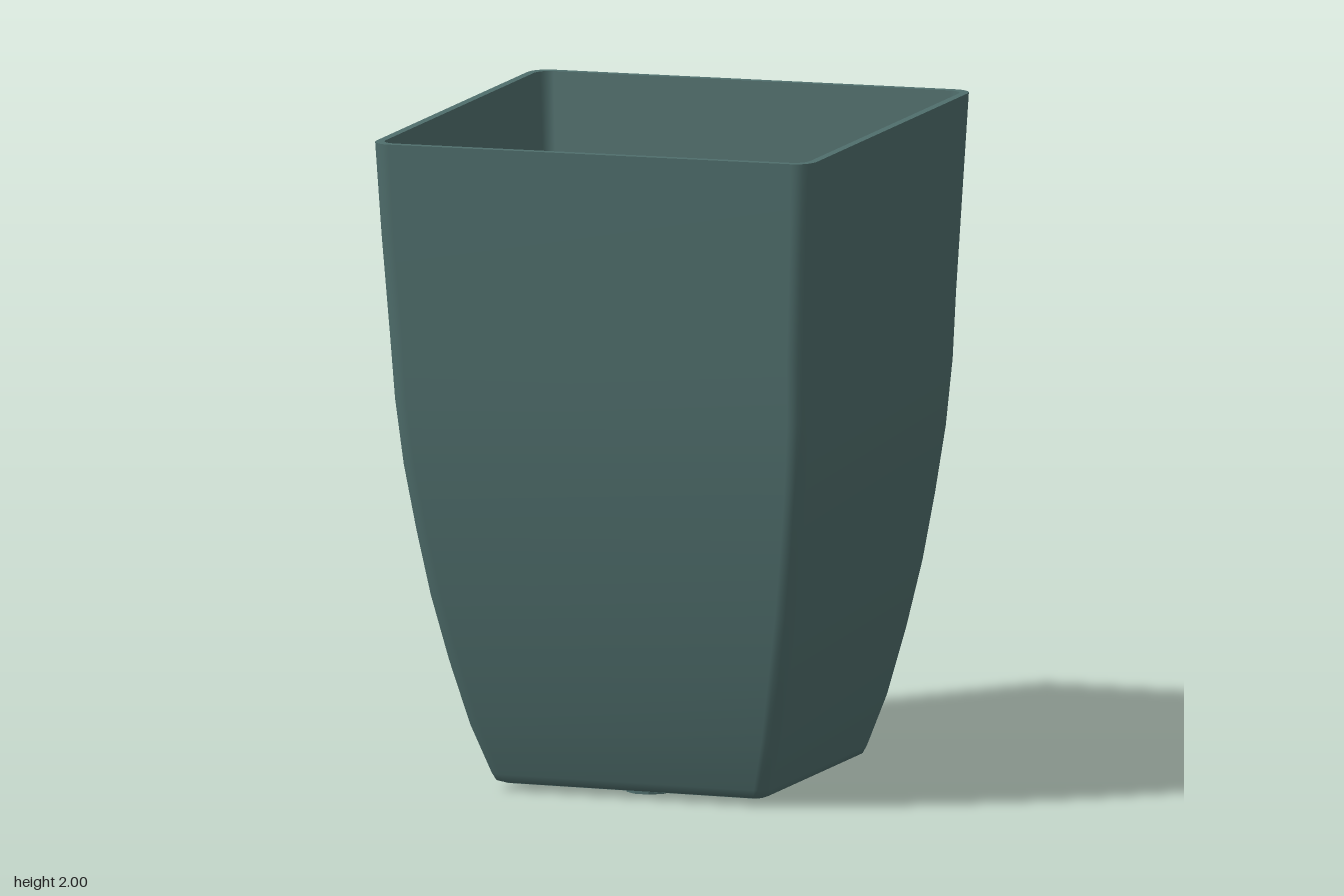
import * as THREE from 'three';

const CX = 0.02, CZ = -0.01; // base centre, slightly off the rim centre
const HOLES = [[0.02, -0.01], [-0.26, -0.01], [0.3, -0.01], [0.03, -0.29], [0.03, 0.27]];

// One level of the pot: [height, half width, corner radius]
const OUTER = [
  [0.02, 0.41, 0.03], [0.028, 0.432, 0.035], [0.05, 0.443, 0.04], [0.2, 0.492, 0.045],
  [0.4, 0.54, 0.05], [0.6, 0.58, 0.05], [0.8, 0.611, 0.05], [1.0, 0.638, 0.05],
  [1.2, 0.656, 0.05], [1.4, 0.667, 0.055], [1.7, 0.684, 0.055], [2.0, 0.7, 0.06],
];
const INNER = OUTER.slice(3).reverse()
  .map(([y, h, r]) => [y, h - 0.025, r - 0.015])
  .concat([[0.1, 0.43, 0.03], [0.065, 0.41, 0.03]]);

// Rounded square cross-section; the centre shifts and the rim tilts with height
function ring([y, h, r]) {
  const k = Math.max(0, 1 - y / 1.6), pts = [];
  for (let c = 0; c < 4; c++) {
    const mid = Math.PI / 4 + c * Math.PI / 2;
    const sx = Math.sign(Math.cos(mid)), sz = Math.sign(Math.sin(mid));
    for (let i = 0; i <= 5; i++) {
      const a = c * Math.PI / 2 + i * Math.PI / 10;
      const x = sx * (h - r) + r * Math.cos(a), z = sz * (h - r) + r * Math.sin(a);
      const tilt = y > 1.9 ? 0.01 * (x / 0.7 - 1) : 0;
      pts.push([x + CX * k, y + tilt, z + CZ * k]);
    }
  }
  return pts;
}

// Skin over a list of levels
function loft(levels) {
  const rows = levels.map(ring), n = rows[0].length, index = [];
  for (let j = 0; j < rows.length - 1; j++) {
    for (let i = 0; i < n; i++) {
      const a = j * n + i, b = j * n + (i + 1) % n;
      index.push(a, a + n, b, b, a + n, b + n);
    }
  }
  const geo = new THREE.BufferGeometry();
  geo.setAttribute('position', new THREE.Float32BufferAttribute(rows.flat(2), 3));
  geo.setIndex(index);
  geo.computeVertexNormals();
  return geo;
}

function circle(Type, x, z, r) {
  const path = new Type();
  path.absarc(x, z, r, 0, Math.PI * 2, false);
  return path;
}

// Horizontal slab from a plan shape, with its top at the given height
function slab(shape, top, depth) {
  return new THREE.ExtrudeGeometry(shape, { depth, bevelEnabled: false, curveSegments: 5 })
    .rotateX(Math.PI / 2).translate(0, top, 0);
}

export function createModel() {
  const pot = new THREE.Group();
  pot.name = 'planter';
  const plastic = new THREE.MeshStandardMaterial({ color: 0x4f6e6c });
  plastic.name = 'dark teal plastic';
  const add = (name, geo) => {
    const mesh = new THREE.Mesh(geo, plastic);
    mesh.name = name;
    pot.add(mesh);
    return mesh;
  };

  // Walls and rim
  add('outerWall', loft(OUTER));
  add('rim', loft([OUTER[OUTER.length - 1], INNER[0]]));
  add('innerWall', loft(INNER));

  // Floor with drainage holes
  const floor = new THREE.Shape(ring([0.02, 0.412, 0.03]).map(p => new THREE.Vector2(p[0], p[2])));
  HOLES.forEach(([x, z]) => floor.holes.push(circle(THREE.Path, x, z, 0.053)));
  add('floor', slab(floor, 0.067, 0.047));

  // Low collars under the four outer holes
  HOLES.slice(1).forEach(([x, z]) => {
    const collar = circle(THREE.Shape, x, z, 0.072);
    collar.holes.push(circle(THREE.Path, x, z, 0.053));
    add('drainCollar', slab(collar, 0.022, 0.022));
  });

  // Gusset ribs between the floor and each wall
  const profile = new THREE.Shape([[0.32, 0.06], [0.43, 0.06], [0.52, 0.36], [0.5, 0.36], [0.335, 0.11]]
    .map(p => new THREE.Vector2(...p)));
  const ribGeo = new THREE.ExtrudeGeometry(profile, { depth: 0.04, bevelEnabled: false }).translate(0, 0, -0.02);
  // Taper the ribs toward the wall
  const pos = ribGeo.attributes.position;
  for (let i = 0; i < pos.count; i++) {
    pos.setZ(i, pos.getZ(i) * (1.3 - 1.5 * pos.getY(i)));
  }
  ribGeo.computeVertexNormals();
  for (let i = 0; i < 4; i++) {
    const rib = add('rib', ribGeo);
    rib.position.set(CX, 0, CZ);
    rib.rotation.y = i * Math.PI / 2;
  }
  return pot;
}
